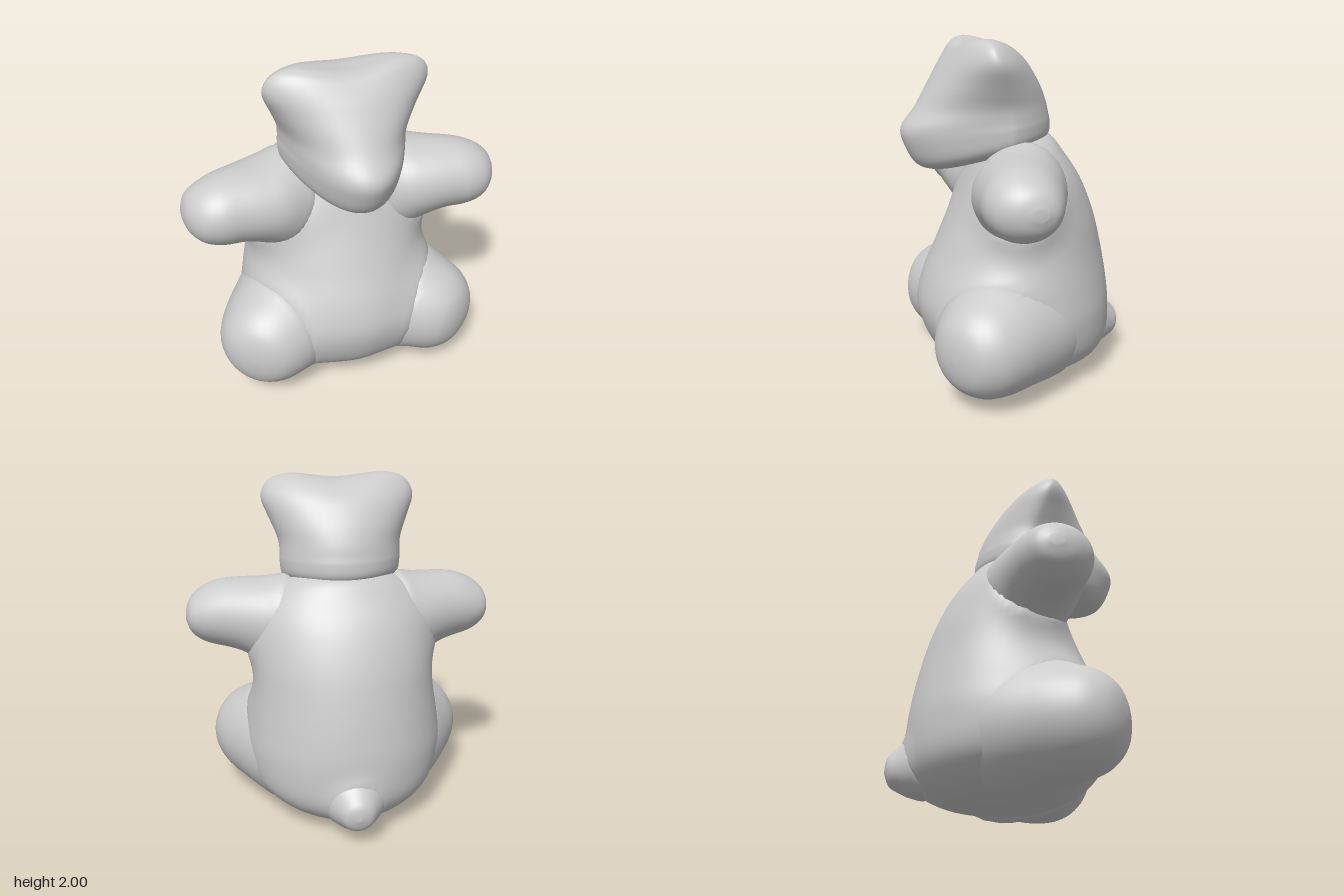
import * as THREE from 'three';
import { mergeVertices } from 'three/addons/utils/BufferGeometryUtils.js';

const material = new THREE.MeshStandardMaterial({ color: 0xcccccc, roughness: 0.8 });

// Smoothly interpolates between rows of section values (Catmull-Rom).
function refine(rows, steps) {
  const out = [];
  const at = (i) => rows[Math.min(Math.max(i, 0), rows.length - 1)];
  for (let i = 0; i < rows.length - 1; i++) {
    for (let k = 0; k < steps; k++) {
      const t = k / steps;
      out.push(at(i).map((b, c) => {
        const a = at(i - 1)[c], d = at(i + 1)[c], e = at(i + 2)[c];
        return b + 0.5 * t * (d - a + t * (2 * a - 5 * b + 4 * d - e + t * (3 * (b - d) + e - a)));
      }));
    }
  }
  out.push(rows[rows.length - 1]);
  return out;
}

// Skins closed rings; point(row, angle) turns right-handed about the axis.
function skin(rows, point, sides = 48) {
  const pos = [], index = [];
  const rings = refine(rows, 5);
  for (const row of rings) {
    for (let j = 0; j < sides; j++) pos.push(...point(row, (j / sides) * Math.PI * 2));
  }
  const id = (i, j) => i * sides + (j % sides);
  for (let i = 0; i < rings.length - 1; i++) {
    for (let j = 0; j < sides; j++) {
      index.push(id(i, j), id(i, j + 1), id(i + 1, j + 1), id(i, j), id(i + 1, j + 1), id(i + 1, j));
    }
  }
  // End caps around the middle of the first and last ring
  for (const i of [0, rings.length - 1]) {
    const mid = [0, 0, 0];
    for (let j = 0; j < sides; j++) {
      for (let c = 0; c < 3; c++) mid[c] += pos[id(i, j) * 3 + c] / sides;
    }
    const m = pos.length / 3;
    pos.push(...mid);
    for (let j = 0; j < sides; j++) {
      if (i === 0) index.push(m, id(i, j + 1), id(i, j));
      else index.push(m, id(i, j), id(i, j + 1));
    }
  }
  const g = new THREE.BufferGeometry();
  g.setAttribute('position', new THREE.Float32BufferAttribute(pos, 3));
  g.setIndex(index);
  g.computeVertexNormals();
  return g;
}

// Round blob turned about an axis that starts at `from` and points along `dir`.
function blob(profile, from, dir) {
  const curve = new THREE.SplineCurve(profile.map(([r, h]) => new THREE.Vector2(r, h)));
  const pts = curve.getPoints(36).map((p) => new THREE.Vector2(Math.max(p.x, 0), p.y));
  const lathe = new THREE.LatheGeometry(pts, 44).deleteAttribute('uv').deleteAttribute('normal');
  const g = mergeVertices(lathe);
  const up = new THREE.Vector3(0, 1, 0);
  g.applyQuaternion(new THREE.Quaternion().setFromUnitVectors(up, new THREE.Vector3(...dir).normalize()));
  g.translate(...from);
  g.computeVertexNormals();
  return g;
}

// Fills the crease where a surface meets a neighbour; the sharper the crease, the more.
function blend(g, distance, reach) {
  const p = g.attributes.position, n = g.attributes.normal;
  const v = new THREE.Vector3(), normal = new THREE.Vector3(), away = new THREE.Vector3();
  for (let i = 0; i < p.count; i++) {
    v.fromBufferAttribute(p, i);
    normal.fromBufferAttribute(n, i);
    const h = Math.max(0, 1 - Math.abs(distance(v, away)) / reach);
    const crease = THREE.MathUtils.clamp(1 - normal.dot(away), 0, 1);
    v.addScaledVector(normal, h * h * crease * reach / 4);
    p.setXYZ(i, v.x, v.y, v.z);
  }
  g.computeVertexNormals();
  return g;
}

// Distance to a capsule, for blending the body towards a limb
function capsule(a, b, r) {
  const line = new THREE.Line3(new THREE.Vector3(...a), new THREE.Vector3(...b));
  const q = new THREE.Vector3();
  return (v, away) => {
    line.closestPointToPoint(v, true, q);
    away.subVectors(v, q).normalize();
    return q.distanceTo(v) - r;
  };
}

// Body: height, half width, front z, back z
const bodyRows = [
  [0.0, 0.12, 0.08, -0.22], [0.03, 0.27, 0.25, -0.36], [0.1, 0.43, 0.41, -0.49],
  [0.22, 0.55, 0.53, -0.56], [0.42, 0.595, 0.595, -0.57], [0.6, 0.575, 0.565, -0.55],
  [0.8, 0.545, 0.475, -0.51], [1.0, 0.525, 0.385, -0.455], [1.2, 0.48, 0.3, -0.37],
  [1.35, 0.4, 0.23, -0.27], [1.44, 0.28, 0.17, -0.2], [1.48, 0.12, 0.08, -0.1],
];
const bodySections = refine(bodyRows, 30);

// Approximate distance to the body, for blending limbs towards it
function bodyDistance(v, away) {
  const [, w, zf, zb] = bodySections.find((row) => row[0] >= v.y) ?? bodyRows.at(-1);
  const depth = (zf - zb) / 2, z = v.z - (zf + zb) / 2;
  away.set(v.x / (w * w), 0, z / (depth * depth)).normalize();
  return (Math.hypot(v.x / w, z / depth) - 1) * Math.min(w, depth);
}

export function createModel() {
  const model = new THREE.Group();
  const add = (name, geometry) => {
    const mesh = new THREE.Mesh(geometry, material);
    mesh.name = name;
    model.add(mesh);
  };

  const body = skin(bodyRows, ([y, w, zf, zb], a) =>
    [w * Math.sin(a), y, (zf + zb) / 2 + (zf - zb) / 2 * Math.cos(a)], 88);
  add('body', body);

  // Head with snout and ears: height, half width, z of widest point, front z, back z, tilt
  const headRows = [
    [1.37, 0.12, 0.12, 0.34, -0.04, 0.25], [1.38, 0.26, 0.1, 0.47, -0.15, 0.25],
    [1.42, 0.34, 0.1, 0.58, -0.195, 0.22], [1.5, 0.358, 0.1, 0.65, -0.198, 0.14],
    [1.56, 0.357, 0.1, 0.665, -0.188, 0.08], [1.64, 0.365, 0.12, 0.585, -0.17, 0.04],
    [1.74, 0.405, 0.16, 0.51, -0.13, 0], [1.85, 0.45, 0.2, 0.44, -0.06, 0],
    [1.92, 0.44, 0.22, 0.395, 0.0, 0], [1.97, 0.395, 0.23, 0.355, 0.07, 0],
    [1.993, 0.33, 0.235, 0.315, 0.135, 0], [2.0, 0.25, 0.235, 0.28, 0.18, 0],
    [2.0, 0.02, 0.235, 0.24, 0.23, 0],
  ];
  add('head', skin(headRows, ([y, w, zw, zf, zb, tilt], a) => {
    const c = Math.cos(a), x = w * Math.sin(a);
    // The snout is pointed, the brow fuller
    const e = 1.6 - 0.35 * THREE.MathUtils.smoothstep(y, 1.5, 1.76);
    const z = c > 0 ? zw + (zf - zw) * Math.pow(c, e) : zw - (zw - zb) * Math.pow(-c, 1.25);
    // The crown dips between the ears and the jaw rises at the cheeks
    const dip = 0.03 * Math.max(0, (y - 1.85) / 0.15) * (1 - THREE.MathUtils.smoothstep(Math.abs(x), 0, 0.3));
    return [x, y - tilt * z - dip + 0.9 * tilt * x * x, z];
  }, 64));

  // Arm: x, middle y, half height, middle z, half depth
  const armRows = [
    [0.02, 1.17, 0.1, 0, 0.1], [0.14, 1.17, 0.17, 0.02, 0.19], [0.26, 1.17, 0.225, 0.05, 0.245],
    [0.36, 1.175, 0.238, 0.08, 0.268], [0.47, 1.183, 0.23, 0.105, 0.26],
    [0.6, 1.195, 0.213, 0.13, 0.24], [0.72, 1.195, 0.198, 0.155, 0.22], [0.82, 1.19, 0.163, 0.16, 0.183],
    [0.89, 1.19, 0.105, 0.145, 0.12], [0.92, 1.19, 0.03, 0.135, 0.04],
  ];
  // Leg profile: radius, distance from the hip
  const legProfile = [
    [0, -0.16], [0.2, -0.11], [0.3, 0.02], [0.322, 0.2], [0.316, 0.4], [0.303, 0.54],
    [0.265, 0.67], [0.19, 0.76], [0.1, 0.8], [0, 0.812],
  ];
  const reach = 0.17;
  for (const [side, s] of [['left', 1], ['right', -1]]) {
    const arm = skin(armRows, ([x, cy, ry, cz, rz], a) =>
      [s * x, cy + ry * Math.cos(a), cz + s * rz * Math.sin(a)]);
    add(side + 'Arm', blend(arm, bodyDistance, reach));
    const leg = blob(legProfile, [s * 0.2, 0.37, -0.15], [s * 0.55, -0.03, 0.83]);
    add(side + 'Leg', blend(leg, bodyDistance, reach));
    blend(body, capsule([s * 0.25, 1.17, 0.05], [s * 0.75, 1.19, 0.15], 0.235), reach);
    blend(body, capsule([s * 0.2, 0.37, -0.15], [s * 0.49, 0.355, 0.28], 0.315), reach);
  }

  // Tail
  const tail = blob([
    [0, -0.04], [0.09, 0], [0.145, 0.08], [0.145, 0.15], [0.115, 0.21], [0.075, 0.26], [0, 0.28],
  ], [0, 0.225, -0.4], [0, -0.12, -1]);
  add('tail', blend(tail, bodyDistance, 0.12));
  blend(body, capsule([0, 0.225, -0.4], [0, 0.2, -0.56], 0.135), 0.12);

  return model;
}
